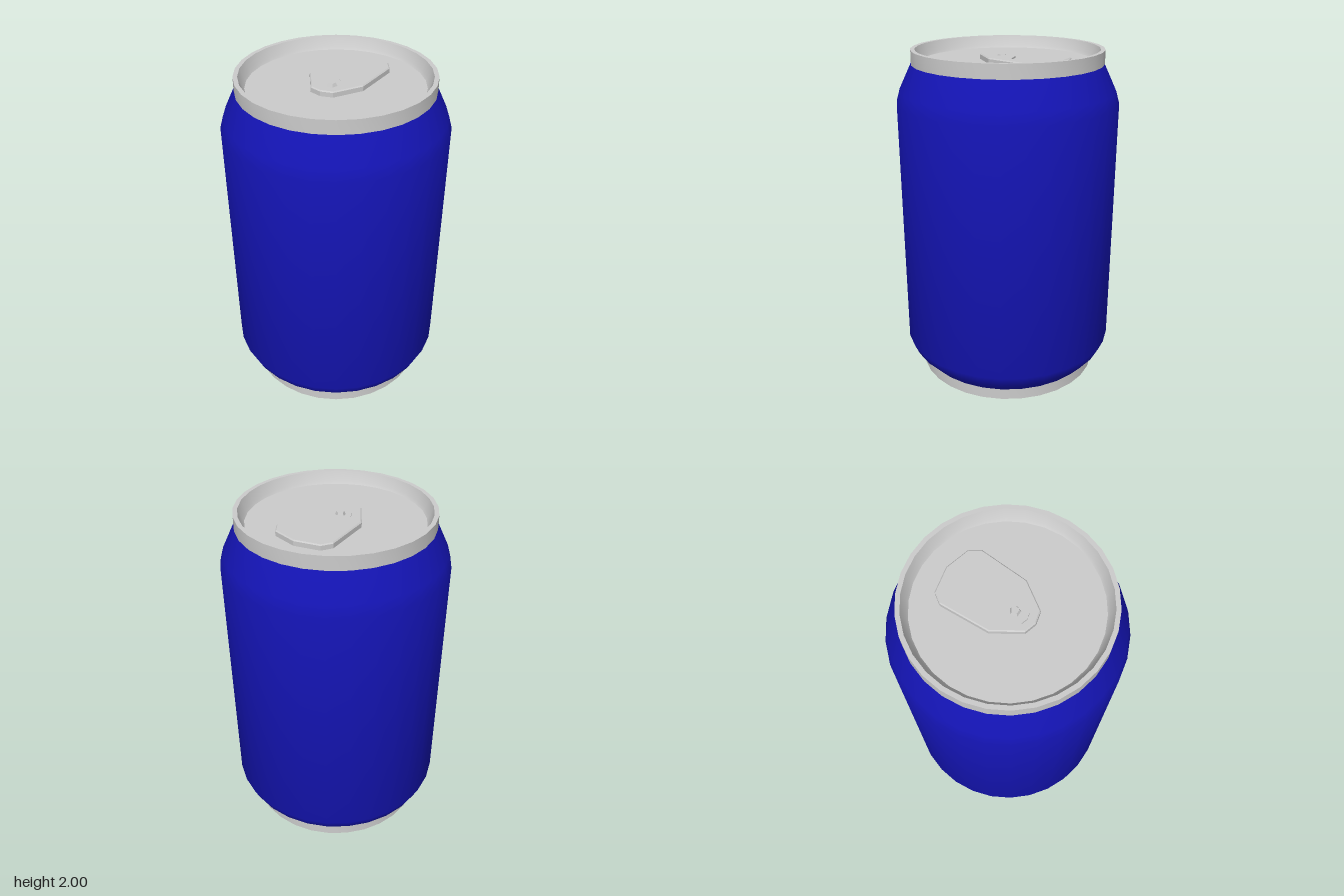
import * as THREE from 'three';
import { toCreasedNormals } from 'three/addons/utils/BufferGeometryUtils.js';

const SIDES = 30;
const LID_Y = 1.93;
const metal = new THREE.MeshStandardMaterial({ color: 0xcccccc });
const paint = new THREE.MeshStandardMaterial({ color: 0x1414b4 });

// Revolve a [radius, height] profile, keeping sharp edges sharp
function revolve(name, profile, material) {
  const points = profile.map(([r, y]) => new THREE.Vector2(r, y));
  const geometry = new THREE.LatheGeometry(points, SIDES, Math.PI / 2);
  const mesh = new THREE.Mesh(toCreasedNormals(geometry, 0.6), material);
  mesh.name = name;
  return mesh;
}

// Mirror a half outline of [x, z] points (first and last on the axis)
function outline(half, Type = THREE.Shape) {
  const mirrored = half.slice(1, -1).reverse().map(([x, z]) => [-x, z]);
  return new Type([...half, ...mirrored].map(([x, z]) => new THREE.Vector2(x, -z)));
}

// Flat plate lying on the lid, with slightly bevelled edges
function plate(name, shape, height, bevel) {
  const geometry = new THREE.ExtrudeGeometry(shape, {
    depth: height - bevel, bevelEnabled: bevel > 0, bevelSegments: 1,
    bevelSize: bevel, bevelThickness: bevel, bevelOffset: -bevel,
  });
  geometry.rotateX(-Math.PI / 2);
  const mesh = new THREE.Mesh(toCreasedNormals(geometry, 0.3), metal);
  mesh.name = name;
  mesh.position.y = LID_Y;
  return mesh;
}

function createPullTab() {
  const tab = new THREE.Group();
  tab.name = 'pullTab';

  // Ring plate with a finger hole and a rivet pocket
  const pocket = [[0, -0.016], [0.093, 0.016], [0.045, 0.12], [0, 0.133]];
  const ring = outline([[0, -0.378], [0.145, -0.343], [0.183, -0.285], [0.168, 0], [0.069, 0.15], [0, 0.168]]);
  ring.holes.push(
    outline([[0, -0.34], [0.1, -0.305], [0.138, -0.23], [0.114, -0.11], [0, -0.057]], THREE.Path),
    outline(pocket, THREE.Path),
  );
  tab.add(plate('tabRing', ring, 0.032, 0.006));

  // Pocket floor
  const inner = pocket.map(([x, z]) => [x * 0.8, 0.05 + (z - 0.05) * 0.8]);
  tab.add(plate('tabPocket', outline(inner), 0.012, 0));

  // Five-sided rivet
  const rivet = new THREE.Mesh(
    new THREE.CylinderGeometry(0.022, 0.036, 0.03, 5).rotateY(Math.PI).toNonIndexed(), metal);
  rivet.geometry.computeVertexNormals();
  rivet.name = 'rivet';
  rivet.position.set(0, LID_Y + 0.015, 0.044);
  tab.add(rivet);
  return tab;
}

export function createModel() {
  const can = new THREE.Group();
  can.name = 'drinkCan';

  // Base ring with a concave dome underneath
  const dome = [];
  for (let i = 0; i <= 6; i++) {
    const a = (i / 6) * Math.PI / 2;
    dome.push([0.5 * Math.sin(a), 0.14 * Math.cos(a)]);
  }
  dome[6][1] = 0;
  can.add(revolve('base', [...dome, [0.553, 0], [0.553, 0.068]], metal));

  // Painted body with tapered shoulders
  can.add(revolve('body', [
    [0.553, 0.068], [0.618, 0.14], [0.647, 0.206],
    [0.647, 1.7], [0.627, 1.77], [0.555, 1.92],
  ], paint));

  // Rim, sloped inner wall and sunken lid
  can.add(revolve('lid', [
    [0.555, 1.92], [0.555, 2], [0.53, 2],
    [0.509, 1.945], [0.498, LID_Y], [0, LID_Y],
  ], metal));

  can.add(createPullTab());
  return can;
}
